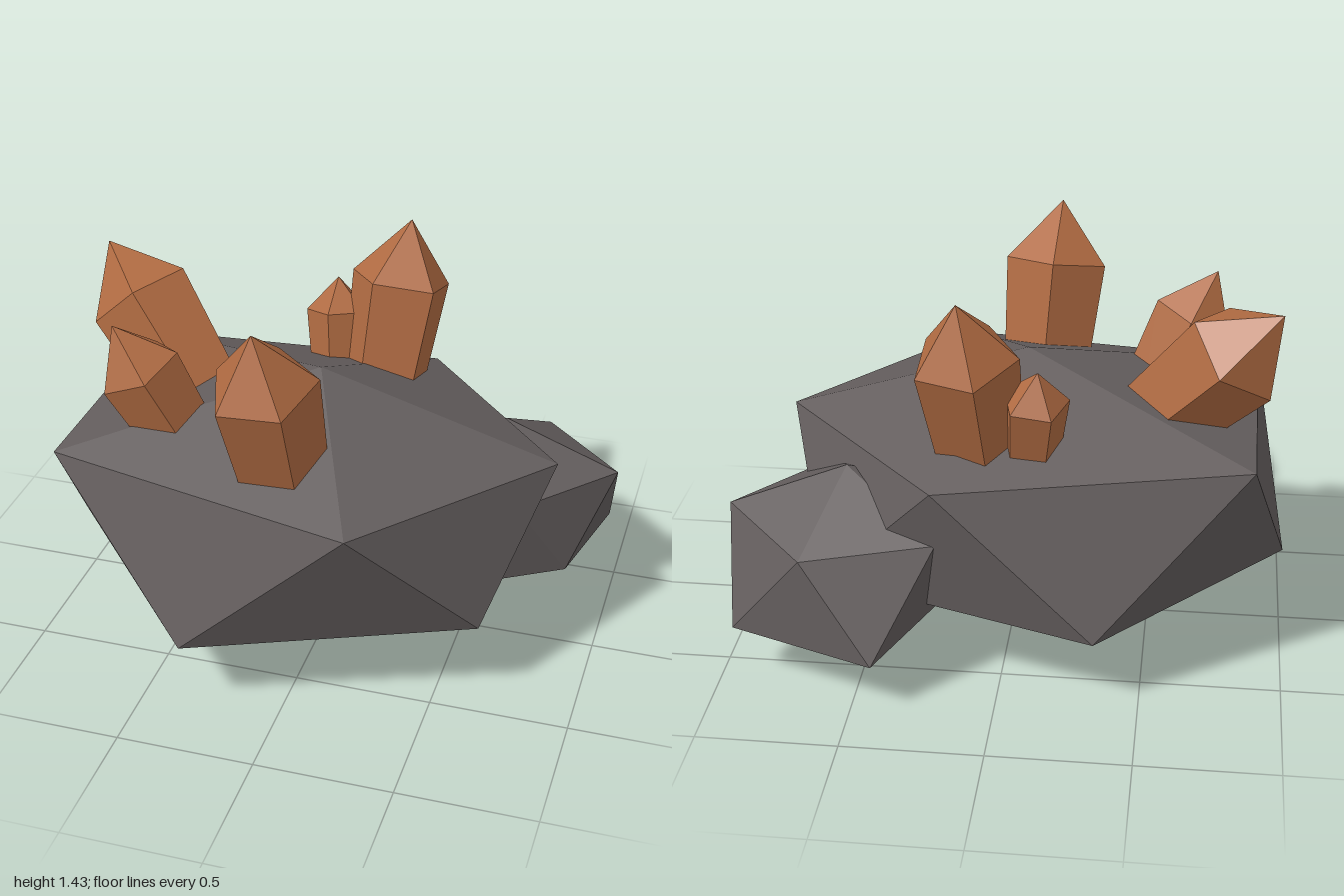
import * as THREE from 'three';

const rockGrey = new THREE.MeshStandardMaterial({ color: 0x635d5d, flatShading: true });
rockGrey.name = 'rockGrey';
const crystalOrange = new THREE.MeshStandardMaterial({ color: 0xb06b42, flatShading: true });
crystalOrange.name = 'crystalOrange';

// Twenty-sided boulder: top point, two staggered rings of five, bottom point
function boulder(name, top, upper, lower, bottom) {
  const index = [];
  for (let i = 0; i < 5; i++) {
    const n = (i + 1) % 5;
    const u = 1 + i, un = 1 + n, l = 6 + i, ln = 6 + n;
    index.push(0, un, u, u, un, l, l, un, ln, l, ln, 11);
  }
  const indexed = new THREE.BufferGeometry();
  indexed.setAttribute('position',
    new THREE.Float32BufferAttribute([top, ...upper, ...lower, bottom].flat(), 3));
  indexed.setIndex(index);
  const geometry = indexed.toNonIndexed();
  geometry.computeVertexNormals();
  const mesh = new THREE.Mesh(geometry, rockGrey);
  mesh.name = name;
  return mesh;
}

// Five-sided crystal: tapered shaft below the shoulder centre, pointed above it.
// phase is the angle of one corner, measured from +x towards +z.
function crystal({ name, shoulder, tip, radius, length, phase }) {
  const centre = new THREE.Vector3(...shoulder);
  const axis = new THREE.Vector3(...tip).sub(centre);
  const height = axis.length();
  axis.normalize();
  const profile = [
    [0, -length], [radius - 0.07 * length, -length], [radius, 0], [0, height],
  ].map(([x, y]) => new THREE.Vector2(x, y));
  const geometry = new THREE.LatheGeometry(profile, 5, Math.PI / 2 - THREE.MathUtils.degToRad(phase));

  const side = new THREE.Vector3(1, 0, 0).addScaledVector(axis, -axis.x).normalize();
  const front = side.clone().cross(axis);
  const mesh = new THREE.Mesh(geometry, crystalOrange);
  mesh.quaternion.setFromRotationMatrix(new THREE.Matrix4().makeBasis(side, axis, front));
  mesh.position.copy(centre);
  mesh.name = name;
  return mesh;
}

export function createModel() {
  const model = new THREE.Group();
  model.name = 'crystalRock';

  // Rocks
  model.add(boulder('mainRock', [-0.04, 1.05, 0.05],
    [[0.83, 0.79, 0.04], [0.25, 0.8, 0.75], [-0.88, 0.83, 0.53], [-0.87, 0.83, -0.44], [0.23, 0.78, -0.62]],
    [[0.65, 0.31, 0.43], [-0.34, 0.27, 0.79], [-1, 0.27, 0.04], [-0.34, 0.27, -0.7], [0.65, 0.31, -0.42]],
    [-0.04, 0, 0.05]));
  model.add(boulder('smallRock', [0.57, 0.73, -0.33],
    [[1, 0.56, -0.34], [0.69, 0.57, 0.03], [0.22, 0.56, -0.09], [0.22, 0.56, -0.58], [0.68, 0.53, -0.69]],
    [[0.86, 0.24, -0.12], [0.45, 0.21, 0.08], [0.17, 0.27, -0.33], [0.42, 0.19, -0.8], [0.95, 0.2, -0.61]],
    [0.57, 0.08, -0.33]));

  // Crystals growing out of the main rock
  [
    { name: 'frontCrystal', shoulder: [-0.1, 1.21, 0.52], tip: [-0.115, 1.43, 0.58], radius: 0.195, length: 0.5, phase: -90 },
    { name: 'backCrystal', shoulder: [0.13, 1.2, -0.42], tip: [0.15, 1.42, -0.48], radius: 0.19, length: 0.5, phase: -34 },
    { name: 'backSmallCrystal', shoulder: [-0.11, 1.05, -0.41], tip: [-0.12, 1.17, -0.44], radius: 0.12, length: 0.35, phase: -50 },
    { name: 'sideCrystal', shoulder: [-0.79, 1.14, -0.13], tip: [-0.94, 1.315, -0.2], radius: 0.2, length: 0.48, phase: 5 },
    { name: 'sideSmallCrystal', shoulder: [-0.63, 1.09, 0.31], tip: [-0.71, 1.26, 0.34], radius: 0.155, length: 0.42, phase: -14 },
  ].forEach((spec) => model.add(crystal(spec)));

  return model;
}
